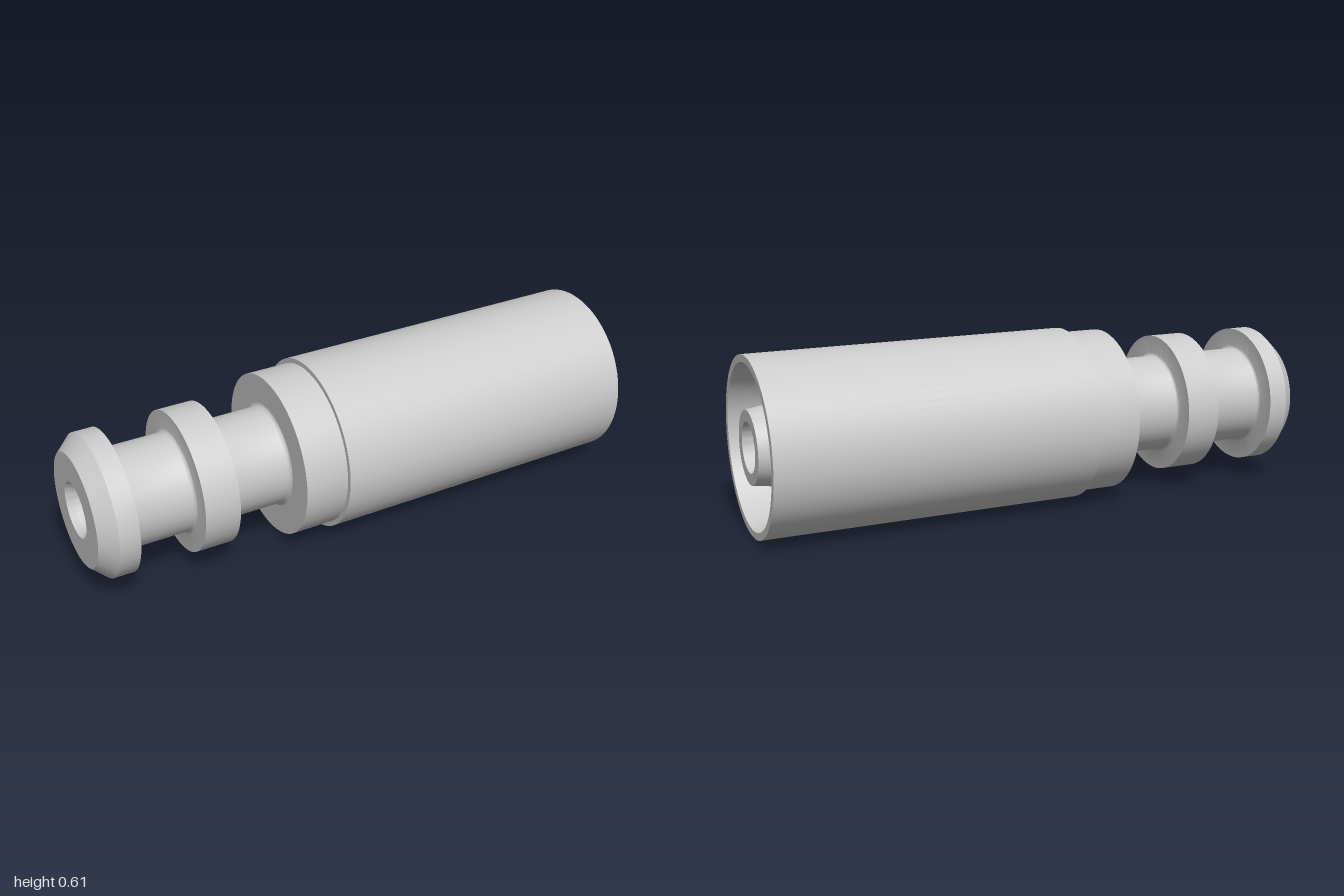
import * as THREE from 'three';
import { toCreasedNormals } from 'three/addons/utils/BufferGeometryUtils.js';

const RADIUS = 0.305;   // sleeve radius, also the axis height
const BORE = 0.086;
const CUP_FLOOR = 0.78; // x of the floor inside the open end
const material = new THREE.MeshStandardMaterial({ color: 0xcccccc });

// Revolves [x, radius] points about the x axis; outer surfaces run towards +x
function turned(name, points) {
  const profile = points.map(([x, r]) => new THREE.Vector2(r, x));
  const lathe = new THREE.LatheGeometry(profile, 72).rotateZ(-Math.PI / 2);
  const mesh = new THREE.Mesh(toCreasedNormals(lathe, 0.6), material);
  mesh.name = name;
  return mesh;
}

// Neck between two shoulders, with a small fillet at each end
function neck(x0, x1, r, f = 0.012) {
  const points = [];
  for (let i = 0; i <= 3; i++) {
    const a = (i / 3) * Math.PI / 2;
    points.push([x0 + f * (1 - Math.cos(a)), r + f * (1 - Math.sin(a))]);
  }
  return [...points, ...points.map(([x, y]) => [x0 + x1 - x, y]).reverse()];
}

export function createModel() {
  const group = new THREE.Group();
  group.name = 'tubeConnector';

  // Grooved stem: chamfered end flange, neck, ring, neck
  group.add(turned('stem', [
    [-0.98, BORE], [-1, 0.097], [-1, 0.198], [-0.945, 0.248], [-0.875, 0.248],
    ...neck(-0.875, -0.65, 0.173),
    [-0.65, 0.248], [-0.525, 0.248],
    ...neck(-0.525, -0.3, 0.173),
  ]));

  // Stepped collar
  group.add(turned('collar', [[-0.3, 0.173], [-0.3, 0.288], [-0.145, 0.288]]));

  // Sleeve with a tapered cup in its open end
  group.add(turned('sleeve', [
    [-0.145, 0.288], [-0.145, RADIUS], [1, RADIUS], [1, 0.28],
    [CUP_FLOOR, 0.237], [CUP_FLOOR, 0.157],
  ]));

  // Tapered nozzle standing inside the cup
  group.add(turned('nozzle', [[CUP_FLOOR, 0.157], [1, 0.125], [1, BORE]]));

  // Through bore
  group.add(turned('bore', [[1, BORE], [-0.98, BORE]]));

  group.children.forEach((part) => { part.position.y = RADIUS; });
  return group;
}
